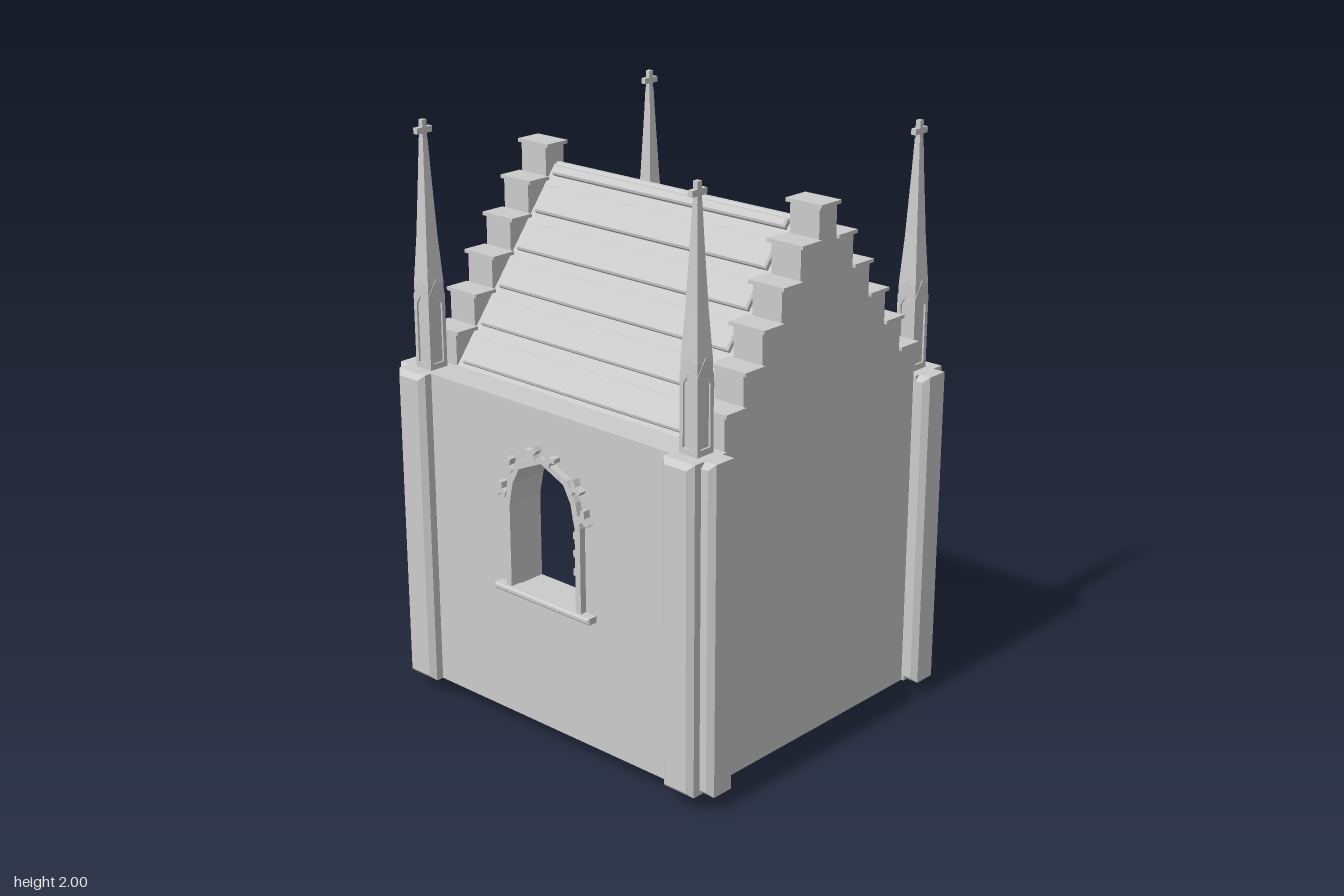
import * as THREE from 'three';

const mat = new THREE.MeshStandardMaterial({ color: 0xcccccc, side: THREE.DoubleSide });

function add(parent, name, geo, x = 0, y = 0, z = 0) {
  const m = new THREE.Mesh(geo, mat);
  m.name = name;
  m.position.set(x, y, z);
  parent.add(m);
  return m;
}
const box = (w, h, d) => new THREE.BoxGeometry(w, h, d);
const shapeOf = (pts, hole) => {
  const s = new THREE.Shape(pts.map(p => new THREE.Vector2(p[0], p[1])));
  if (hole) s.holes.push(new THREE.Path(hole.map(p => new THREE.Vector2(p[0], p[1]))));
  return s;
};
const extrude = (shape, depth) =>
  new THREE.ExtrudeGeometry(shape, { depth, bevelEnabled: false, curveSegments: 24 });
const mirror = half => [...half, ...half.slice().reverse().filter(p => p[0] !== 0).map(p => [-p[0], p[1]])];

// Box with all edges chamfered, centred
function chamferBox(w, h, d, b) {
  const x = w / 2 - b, y = h / 2 - b;
  const g = new THREE.ExtrudeGeometry(shapeOf([[-x, -y], [x, -y], [x, y], [-x, y]]),
    { depth: d - 2 * b, bevelEnabled: true, bevelSize: b, bevelThickness: b, bevelSegments: 1 });
  return g.translate(0, 0, -(d / 2 - b));
}

// Slightly pointed arch outline, from right foot over the apex to left foot
function arch(hw, y0, spring, apex, n = 10) {
  const rise = apex - spring, c = (rise * rise - hw * hw) / (2 * hw), R = hw + c;
  const end = Math.atan2(rise, c), half = [[hw, y0]];
  for (let i = 0; i < n; i++) half.push([R * Math.cos(end * i / n) - c, spring + R * Math.sin(end * i / n)]);
  half.push([0, apex]);
  return mirror(half);
}

// Long side wall with its traceried window; local +z points outwards
function sideWall() {
  const g = new THREE.Group();
  const opening = mirror([[0.147, 0.53], [0.147, 0.82], [0.13, 0.9], [0.1, 0.955], [0, 1.0]]);
  const outer = mirror([[0.17, 0.53], [0.17, 0.825], [0.152, 0.91], [0.115, 0.973], [0, 1.022]]);
  const wall = shapeOf([[-0.53, 0.06], [0.53, 0.06], [0.53, 1.17], [-0.53, 1.17]], opening);
  add(g, 'sideWall', extrude(wall, 0.115), 0, 0, 0.47);
  add(g, 'windowFrame', extrude(shapeOf(outer, opening), 0.025), 0, 0, 0.583);
  add(g, 'windowSill', chamferBox(0.43, 0.022, 0.06, 0.006), 0, 0.522, 0.592);
  // Leaf-shaped crockets around the window arch
  const leaf = shapeOf(mirror([[0.012, 0], [0.009, 0.02], [0.028, 0.03], [0.024, 0.045], [0, 0.036]]));
  for (const s of [-1, 1])
    for (const [x, y, a] of [[0.162, 0.853, 1.15], [0.13, 0.94, 0.85], [0.03, 1.0, 0.35]])
      add(g, 'windowCrocket', extrude(leaf, 0.026), s * x, y, 0.587).rotation.z = -s * a;
  return g;
}

// Stepped gable; local +z points outwards
const steps = [[0.47, 1.28], [0.385, 1.39], [0.3, 1.502], [0.213, 1.614], [0.127, 1.726], [0.042, 1.836]];
function gable(isEntrance) {
  const g = new THREE.Group();
  const half = [[0.47, 0.06]];
  steps.forEach(([w, y], i) => {
    if (i) half.push([w, steps[i - 1][1]]);
    half.push([w, y]);
  });
  const shape = shapeOf(mirror(half));
  if (isEntrance) {
    shape.holes.push(new THREE.Path(arch(0.262, 0.07, 0.66, 0.955).map(p => new THREE.Vector2(...p))));
    shape.holes.push(new THREE.Path().absarc(0, 1.31, 0.1, 0, Math.PI * 2, true));
  }
  add(g, 'steppedGable', extrude(shape, 0.115), 0, 0, 0.53);
  steps.forEach(([w, y], i) => {
    const inner = i < 5 ? steps[i + 1][0] : 0;
    const width = w + 0.006 - inner;
    if (i === 5) add(g, 'stepCap', box(0.096, 0.012, 0.142), 0, y + 0.003, 0.586);
    else for (const s of [-1, 1])
      add(g, 'stepCap', box(width, 0.012, 0.142), s * (inner + width / 2), y + 0.003, 0.586);
  });
  return g;
}

// Doorway: backing moulding, ring of stones and threshold
function doorway() {
  const g = new THREE.Group();
  const ring = shapeOf(arch(0.282, 0.07, 0.66, 0.972), arch(0.235, 0.07, 0.66, 0.925));
  add(g, 'doorMoulding', extrude(ring, 0.145), 0, 0, 0.53);
  const line = arch(0.258, 0.085, 0.66, 0.948, 16);
  const path = new THREE.CurvePath();
  for (let i = 1; i < line.length; i++)
    path.add(new THREE.LineCurve(new THREE.Vector2(...line[i - 1]), new THREE.Vector2(...line[i])));
  const count = 54;
  for (let i = 0; i < count; i++) {
    const u = (i + 0.5) / count, p = path.getPointAt(u), t = path.getTangentAt(u);
    const big = i % 2 === 0;
    const stone = add(g, 'doorStone', chamferBox(big ? 0.072 : 0.058, 0.028, big ? 0.175 : 0.165, 0.006), p.x, p.y, 0.615);
    stone.rotation.z = Math.atan2(-t.x, t.y);
  }
  add(g, 'threshold', box(0.94, 0.022, 0.16), 0, 0.067, 0.61);
  add(g, 'thresholdStep', box(0.94, 0.04, 0.12), 0, 0.04, 0.59);
  return g;
}

// Round gable window with ring and foiled tracery
function roseWindow() {
  const g = new THREE.Group();
  const profile = [[0.145, 0], [0.145, 0.045], [0.135, 0.055], [0.122, 0.055], [0.115, 0.04], [0.1, 0.03], [0.1, -0.04]];
  add(g, 'roseRing', new THREE.LatheGeometry(profile.map(p => new THREE.Vector2(...p)), 32).rotateX(Math.PI / 2).toNonIndexed());
  add(g, 'rosePane', new THREE.CircleGeometry(0.102, 32), 0, 0, -0.04);
  for (let i = 0; i < 4; i++) {
    const a = i * Math.PI / 2 + Math.PI / 4;
    add(g, 'roseFoil', new THREE.TorusGeometry(0.042, 0.009, 6, 20), 0.055 * Math.cos(a), 0.055 * Math.sin(a), -0.015);
  }
  g.position.set(0, 1.31, 0.645);
  return g;
}

// Corner pinnacle with panelled base, tapering spire and cross
function pinnacle() {
  const g = new THREE.Group();
  add(g, 'pinnacleCore', box(0.058, 0.27, 0.058), 0, 1.3, 0);
  const panel = shapeOf([[-0.036, 1.17], [0.036, 1.17], [0.036, 1.42], [0, 1.475], [-0.036, 1.42]],
    [[-0.022, 1.19], [0.022, 1.19], [0.022, 1.39], [0, 1.425], [-0.022, 1.39]]);
  for (let i = 0; i < 4; i++) {
    const side = new THREE.Group();
    side.rotation.y = i * Math.PI / 2;
    add(side, 'pinnaclePanel', extrude(panel, 0.009), 0, 0, 0.027);
    g.add(side);
  }
  const spire = [[0.034, 1.41], [0.034, 1.46], [0.024, 1.62], [0.014, 1.84], [0.010, 1.94]];
  for (let i = 1; i < spire.length; i++) {
    const [r0, y0] = spire[i - 1], [r1, y1] = spire[i];
    const seg = new THREE.CylinderGeometry(r1 * Math.SQRT2, r0 * Math.SQRT2, y1 - y0, 4, 1).toNonIndexed();
    seg.computeVertexNormals();
    add(g, 'spire', seg.rotateY(Math.PI / 4), 0, (y0 + y1) / 2, 0);
  }
  add(g, 'crossPost', box(0.018, 0.07, 0.018), 0, 1.965, 0);
  add(g, 'crossArm', box(0.018, 0.02, 0.064), 0, 1.966, 0);
  return g;
}

// Roof shell with raised planks on both slopes
function roof() {
  const g = new THREE.Group();
  const shell = shapeOf([[0.475, 1.16], [0, 1.77], [-0.475, 1.16], [-0.41, 1.16], [0, 1.685], [0.41, 1.16]]);
  add(g, 'roofShell', extrude(shell, 1.07).translate(0, 0, -0.535).rotateY(Math.PI / 2));
  const angle = Math.atan2(0.61, 0.47), len = Math.hypot(0.61, 0.47);
  for (const turn of [0, Math.PI]) {
    const slope = new THREE.Group();
    slope.name = 'roofSlope';
    slope.rotation.y = turn;
    for (let i = 0; i < 6; i++) {
      const a = 0.02 + i * 0.141, b = Math.min(a + 0.1, len - 0.012), t = (a + b) / 2;
      const plank = add(slope, 'roofPlank', chamferBox(1.01, b - a, 0.03, 0.006),
        0, 1.165 + t * Math.sin(angle), 0.473 - t * Math.cos(angle));
      plank.rotation.x = angle - Math.PI / 2;
    }
    g.add(slope);
  }
  add(g, 'ridge', chamferBox(1.03, 0.025, 0.03, 0.008), 0, 1.767, 0);
  return g;
}

export function createModel() {
  const model = new THREE.Group();
  const place = (part, name, angle) => {
    part.name = name;
    part.rotation.y = angle;
    model.add(part);
  };
  add(model, 'basePlate', box(1.06, 0.065, 0.94), 0, 0.0325, 0);
  place(sideWall(), 'frontWall', 0);
  place(sideWall(), 'backWall', Math.PI);
  place(gable(false), 'leftGable', Math.PI / 2);
  const entrance = gable(true);
  entrance.add(doorway(), roseWindow());
  place(entrance, 'entranceGable', -Math.PI / 2);
  place(roof(), 'roof', 0);

  // Corner piers: core, two chamfered buttresses and a pinnacle
  for (const sx of [-1, 1]) for (const sz of [-1, 1]) {
    const corner = new THREE.Group();
    corner.name = 'cornerPier';
    add(corner, 'pierCore', box(0.125, 1.11, 0.115), sx * 0.5925, 0.615, sz * 0.5275);
    add(corner, 'buttress', chamferBox(0.125, 1.11, 0.12, 0.018), sx * 0.5925, 0.615, sz * 0.57);
    add(corner, 'buttress', chamferBox(0.12, 1.11, 0.115, 0.018), sx * 0.64, 0.615, sz * 0.5275);
    const top = pinnacle();
    top.name = 'pinnacle';
    top.position.set(sx * 0.587, 0, sz * 0.53);
    corner.add(top);
    model.add(corner);
  }
  return model;
}
